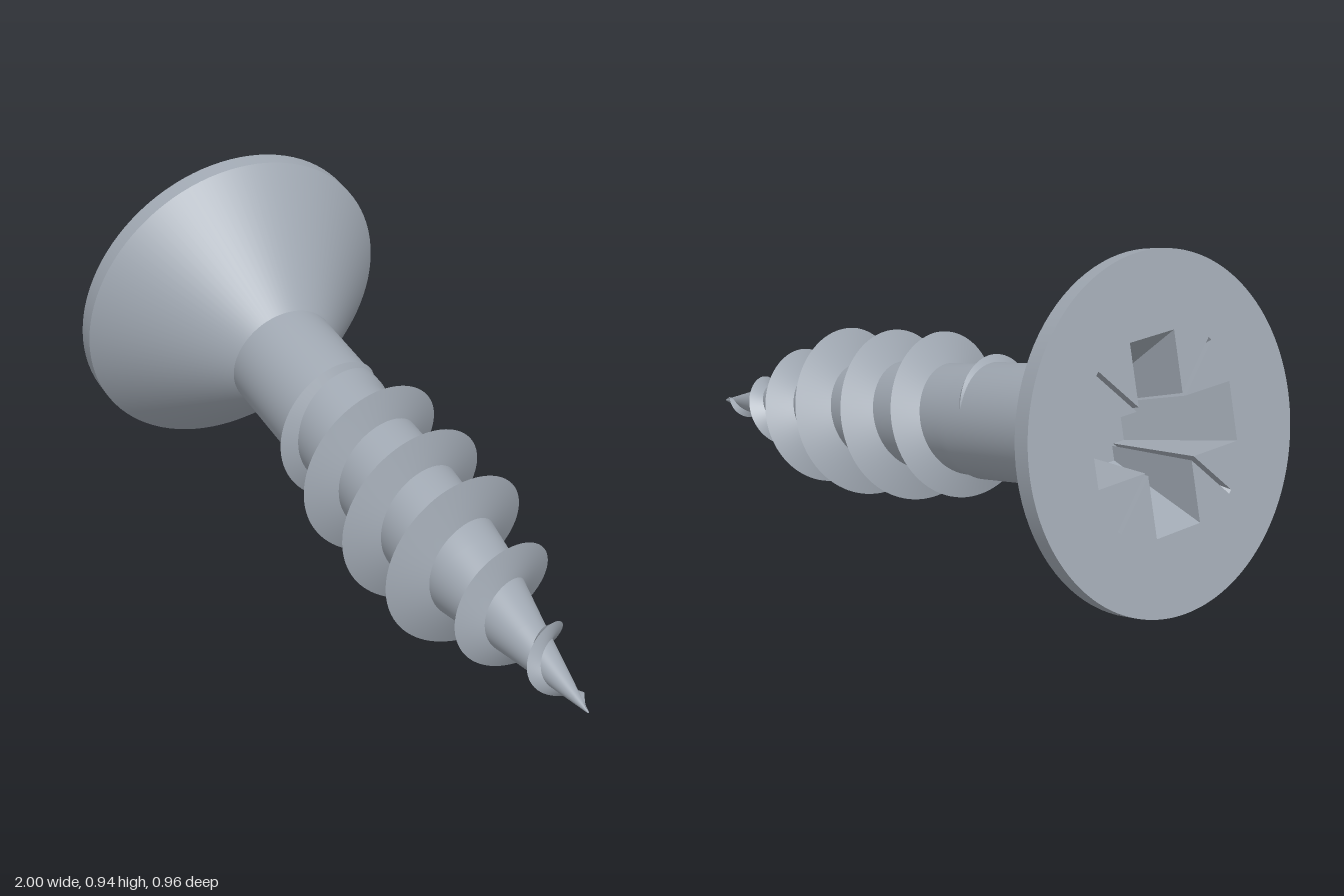
import * as THREE from 'three';

// Local frame: y runs along the screw axis, from the head face (0) to the tip
const HEAD_RADIUS = 0.472, RIM = 0.047, NECK = 0.36, LENGTH = 1.945;

const SHAFT = [[NECK, 0.163], [0.68, 0.163], [0.72, 0.155], [1.05, 0.152], [1.28, 0.138], [1.4, 0.122], [1.665, 0.062], [LENGTH, 0.002]];
const CREST = [[0.6, 0.155], [0.66, 0.183], [0.72, 0.202], [0.77, 0.22], [0.87, 0.242], [1.305, 0.243], [1.406, 0.22],
  [1.516, 0.173], [1.617, 0.126], [1.722, 0.084], [1.85, 0.042], [LENGTH, 0.001]];
const PITCH = 0.2125, TOP_CREST = 0.868;

// Linear lookup in a list of [position, value] pairs
function lookup(table, s) {
  for (let i = 1; i < table.length; i++) {
    const [s0, v0] = table[i - 1], [s1, v1] = table[i];
    if (s <= s1) return v0 + (v1 - v0) * Math.max(0, (s - s0) / (s1 - s0));
  }
  return table[table.length - 1][1];
}

// Surface between two rows of points
function strip(rowA, rowB) {
  const n = rowA.length, index = [];
  for (let i = 0; i < n - 1; i++) index.push(i, i + 1, n + i, i + 1, n + i + 1, n + i);
  const g = new THREE.BufferGeometry().setFromPoints([...rowA, ...rowB]);
  g.setIndex(index);
  g.computeVertexNormals();
  return g;
}

// Cross-shaped drive outline with a narrow diagonal notch in each corner
function driveOutline(arm, half, notch, h) {
  const quadrant = [[arm, half], [half + h, half], [notch + h, notch], [notch, notch + h], [half, half + h], [half, arm]];
  const points = [];
  for (let k = 0; k < 4; k++) {
    for (const [x, y] of quadrant) {
      points.push(new THREE.Vector2(x, y).rotateAround(new THREE.Vector2(), k * Math.PI / 2));
    }
  }
  return points;
}

export function createModel() {
  const steel = new THREE.MeshStandardMaterial({ color: 0xa0a8b2 });
  steel.name = 'steel grey';
  const screw = new THREE.Group();
  screw.name = 'screw';
  const add = (name, geometry) => {
    const mesh = new THREE.Mesh(geometry, steel);
    mesh.name = name;
    screw.add(mesh);
  };
  const lathe = (profile) => new THREE.LatheGeometry(profile.map(([s, r]) => new THREE.Vector2(r, s)), 96);

  // Head rim, countersunk cone and shaft
  add('headRim', lathe([[0, HEAD_RADIUS], [RIM, HEAD_RADIUS]]));
  add('headCone', lathe([[RIM, HEAD_RADIUS], [NECK, 0.163]]));
  add('shaft', lathe(SHAFT));

  // Flat head face with the drive recess cut out
  const depth = 0.26;
  const mouth = driveOutline(0.255, 0.08, 0.2, 0.009);
  const bottom = driveOutline(0.1, 0.055, 0.07, 0.005);
  const face = new THREE.Shape().absarc(0, 0, HEAD_RADIUS, 0, Math.PI * 2);
  face.holes.push(new THREE.Path(mouth));
  add('headFace', new THREE.ShapeGeometry(face, 96).rotateX(Math.PI / 2));

  // Tapered recess walls and floor
  const ring = (points, y) => [...points, points[0]].map((p) => new THREE.Vector3(p.x, y, p.y));
  const walls = strip(ring(mouth, 0), ring(bottom, depth)).toNonIndexed();
  walls.computeVertexNormals();
  add('recessWalls', walls);
  add('recessFloor', new THREE.ShapeGeometry(new THREE.Shape(bottom)).rotateX(Math.PI / 2).translate(0, depth, 0));

  // Right-handed helical thread with a sharp crest, fading out at both ends
  const rear = [], crest = [], front = [];
  const start = CREST[0][0], steps = 600;
  for (let i = 0; i <= steps; i++) {
    const s = start + (LENGTH - start) * i / steps;
    const angle = (s - TOP_CREST) / PITCH * Math.PI * 2;
    const core = lookup(SHAFT, s), tip = lookup(CREST, s);
    const width = Math.min(0.012 + 0.27 * Math.max(0, tip - core), LENGTH - s + 0.002);
    const point = (r, y) => new THREE.Vector3(r * Math.cos(angle), y, -r * Math.sin(angle));
    rear.push(point(Math.min(core, lookup(SHAFT, s - width)) * 0.98, s - width));
    crest.push(point(tip, s));
    front.push(point(lookup(SHAFT, s + width) * 0.98, s + width));
  }
  add('threadRearFlank', strip(rear, crest));
  add('threadFrontFlank', strip(crest, front));

  // Tilt the axis and place the head
  const axis = new THREE.Vector3(0.961, -0.188, 0.201).normalize();
  const side = new THREE.Vector3(0.192, 0.981, 0).normalize();
  const third = new THREE.Vector3().crossVectors(side, axis).normalize();
  side.crossVectors(axis, third);
  screw.quaternion.setFromRotationMatrix(new THREE.Matrix4().makeBasis(side, axis, third));
  screw.position.set(-0.87, 0.474, -0.02);

  const model = new THREE.Group();
  model.name = 'countersunkScrew';
  model.add(screw);
  return model;
}
